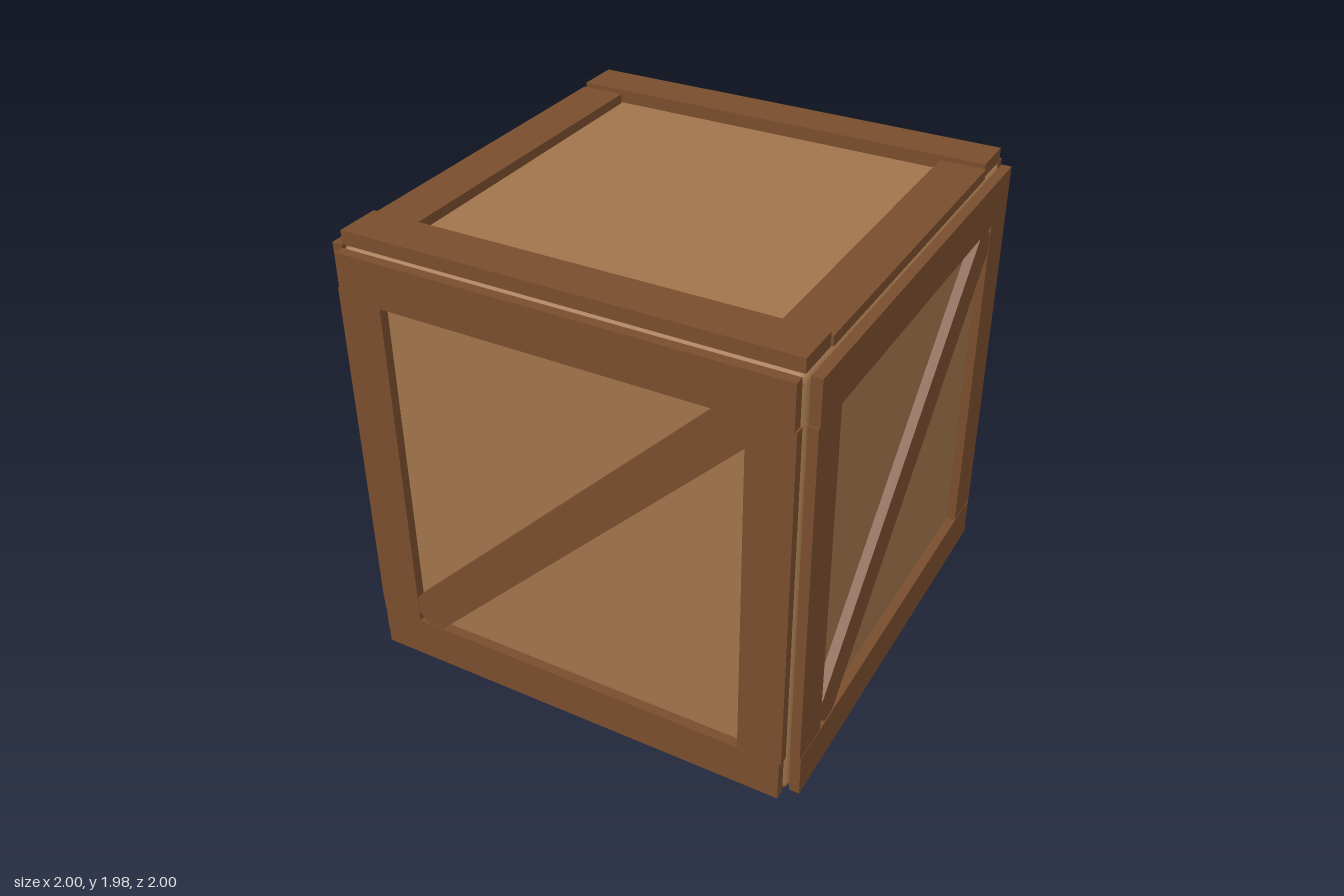
import * as THREE from 'three';
import { RoundedBoxGeometry } from 'three/addons/geometries/RoundedBoxGeometry.js';

const panelWood = new THREE.MeshStandardMaterial({ color: 0xa0744b });
panelWood.name = 'panelWood';
const frameWood = new THREE.MeshStandardMaterial({ color: 0x794d2d });
frameWood.name = 'frameWood';

// Board given by its minimum and maximum corners
function board(name, min, max) {
  const size = max.map((v, i) => v - min[i]);
  const mesh = new THREE.Mesh(new THREE.BoxGeometry(...size), frameWood);
  mesh.position.set(...max.map((v, i) => (v + min[i]) / 2));
  mesh.name = name;
  return mesh;
}

// Framed side with a diagonal brace, facing +z
function createSide() {
  const side = new THREE.Group();
  const back = 0.957;
  side.add(
    board('bottomRail', [-0.937, 0.012, back], [0.937, 0.2, 1]),
    board('topRail', [-0.937, 1.72, back], [0.937, 1.91, 1]),
    board('leftStile', [0.757, 0.198, back], [0.945, 1.722, 0.998]),
    board('rightStile', [-0.945, 0.198, back], [-0.757, 1.722, 0.998])
  );
  const brace = board('diagonalBrace', [-1.04, -0.085, 0.95], [1.04, 0.085, 0.996]);
  brace.position.y = 0.96;
  brace.rotation.z = Math.PI / 4;
  side.add(brace);
  return side;
}

export function createModel() {
  const crate = new THREE.Group();
  crate.name = 'crate';

  // Inner box with chamfered edges
  const core = new THREE.Mesh(new RoundedBoxGeometry(1.91, 1.918, 1.91, 1, 0.04), panelWood);
  core.position.y = 0.959;
  core.name = 'innerBox';
  crate.add(core);

  // Four identical framed sides
  ['front', 'left', 'back', 'right'].forEach((label, i) => {
    const side = createSide();
    side.name = label + 'Side';
    side.rotation.y = i * Math.PI / 2;
    crate.add(side);
  });

  // Lid frame: two long boards with two lower, shorter ones between them
  const lid = new THREE.Group();
  lid.name = 'lidFrame';
  lid.add(
    board('frontLidBoard', [-0.943, 1.919, 0.755], [0.943, 1.977, 0.947]),
    board('backLidBoard', [-0.943, 1.919, -0.947], [0.943, 1.977, -0.755]),
    board('leftLidBoard', [0.755, 1.917, -0.747], [0.95, 1.96, 0.747]),
    board('rightLidBoard', [-0.95, 1.917, -0.747], [-0.755, 1.96, 0.747])
  );
  crate.add(lid);
  return crate;
}
